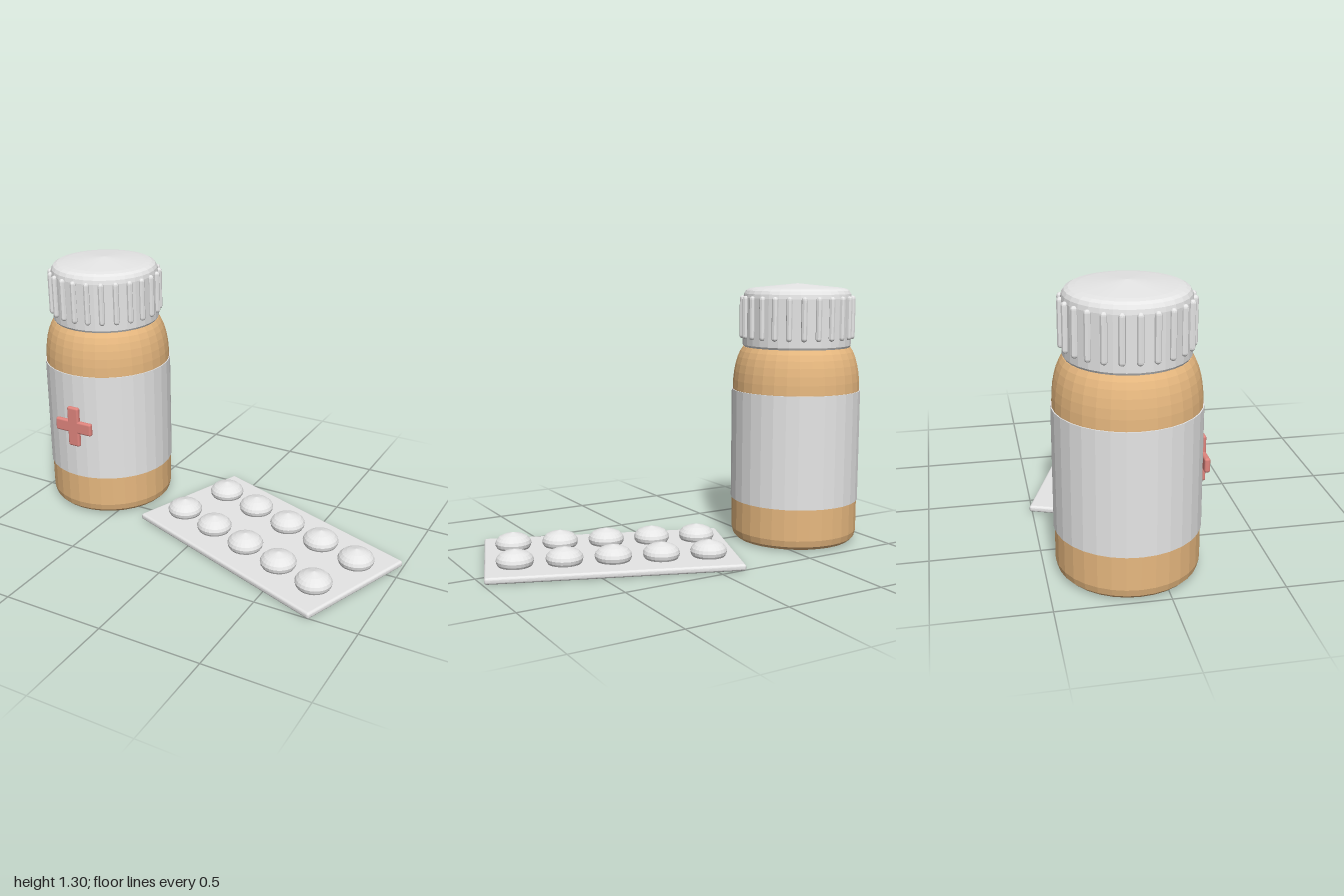
import * as THREE from 'three';
import { RoundedBoxGeometry } from 'three/addons/geometries/RoundedBoxGeometry.js';

const material = (name, color, flatShading = false) => {
  const m = new THREE.MeshStandardMaterial({ color, flatShading });
  m.name = name;
  return m;
};

export function createModel() {
  const amber = material('amber', 0xe8b980, true);
  const white = material('white', 0xe6e6e6, true);
  const red = material('red', 0xe0857e);

  const add = (parent, name, geometry, mat, x = 0, y = 0, z = 0) => {
    const mesh = new THREE.Mesh(geometry, mat);
    mesh.name = name;
    mesh.position.set(x, y, z);
    parent.add(mesh);
    return mesh;
  };
  const lathe = (points, segments = 32) =>
    new THREE.LatheGeometry(points.map(([r, y]) => new THREE.Vector2(r, y)), segments);

  const model = new THREE.Group();
  model.name = 'pillBottleAndBlisterPack';

  // Bottle
  const bottle = new THREE.Group();
  bottle.name = 'bottle';
  bottle.position.set(-0.676, 0, -0.131);
  model.add(bottle);

  // Body with a rounded foot and shoulder
  const profile = [[0, 0.005], [0.27, 0.005], [0.295, 0.012], [0.311, 0.028], [0.319, 0.06], [0.319, 0.78]];
  for (let i = 1; i <= 6; i++) {
    const a = (i / 6) * 1.15;
    profile.push([0.319 - 0.084 * (1 - Math.cos(a)), 0.78 + 0.23 * Math.sin(a)]);
  }
  profile.push([0, 0.995]);
  add(bottle, 'body', lathe(profile), amber);

  // Label wrapped right round the body
  add(bottle, 'label', lathe([[0.317, 0.217], [0.324, 0.217], [0.324, 0.775], [0.317, 0.775]]), white);

  // Cross on the label
  add(bottle, 'crossUpright', new RoundedBoxGeometry(0.066, 0.213, 0.026, 3, 0.01), red, 0, 0.498, 0.328);
  add(bottle, 'crossBar', new RoundedBoxGeometry(0.213, 0.066, 0.026, 3, 0.01), red, 0, 0.498, 0.328);

  // Cap with a softened rim and slightly peaked top
  add(bottle, 'cap', lathe([
    [0, 0.99], [0.265, 0.99], [0.271, 1.0], [0.271, 1.235], [0.267, 1.255],
    [0.257, 1.271], [0.24, 1.28], [0.21, 1.285], [0, 1.306],
  ]), white);

  // Grip ribs
  const ribGeometry = new THREE.CapsuleGeometry(0.015, 0.185, 4, 8);
  for (let i = 0; i < 24; i++) {
    const a = (i / 24) * Math.PI * 2;
    add(bottle, 'capRib', ribGeometry, white, Math.sin(a) * 0.274, 1.138, Math.cos(a) * 0.274);
  }

  // Blister pack, turned on the ground
  const blister = new THREE.Group();
  blister.name = 'blisterPack';
  blister.position.set(0.324, 0, -0.002);
  blister.rotation.y = -THREE.MathUtils.degToRad(20);
  model.add(blister);
  add(blister, 'card', new RoundedBoxGeometry(1.19, 0.031, 0.66, 3, 0.012), white, 0, 0.0195, 0);

  // Two rows of five domes
  const dome = lathe([
    [0.076, 0.03], [0.085, 0.045], [0.088, 0.06], [0.082, 0.075],
    [0.068, 0.089], [0.046, 0.099], [0, 0.112],
  ], 24);
  for (const z of [-0.147, 0.147]) {
    for (let i = -2; i <= 2; i++) add(blister, 'pillDome', dome, white, i * 0.2275, 0, z);
  }

  return model;
}
